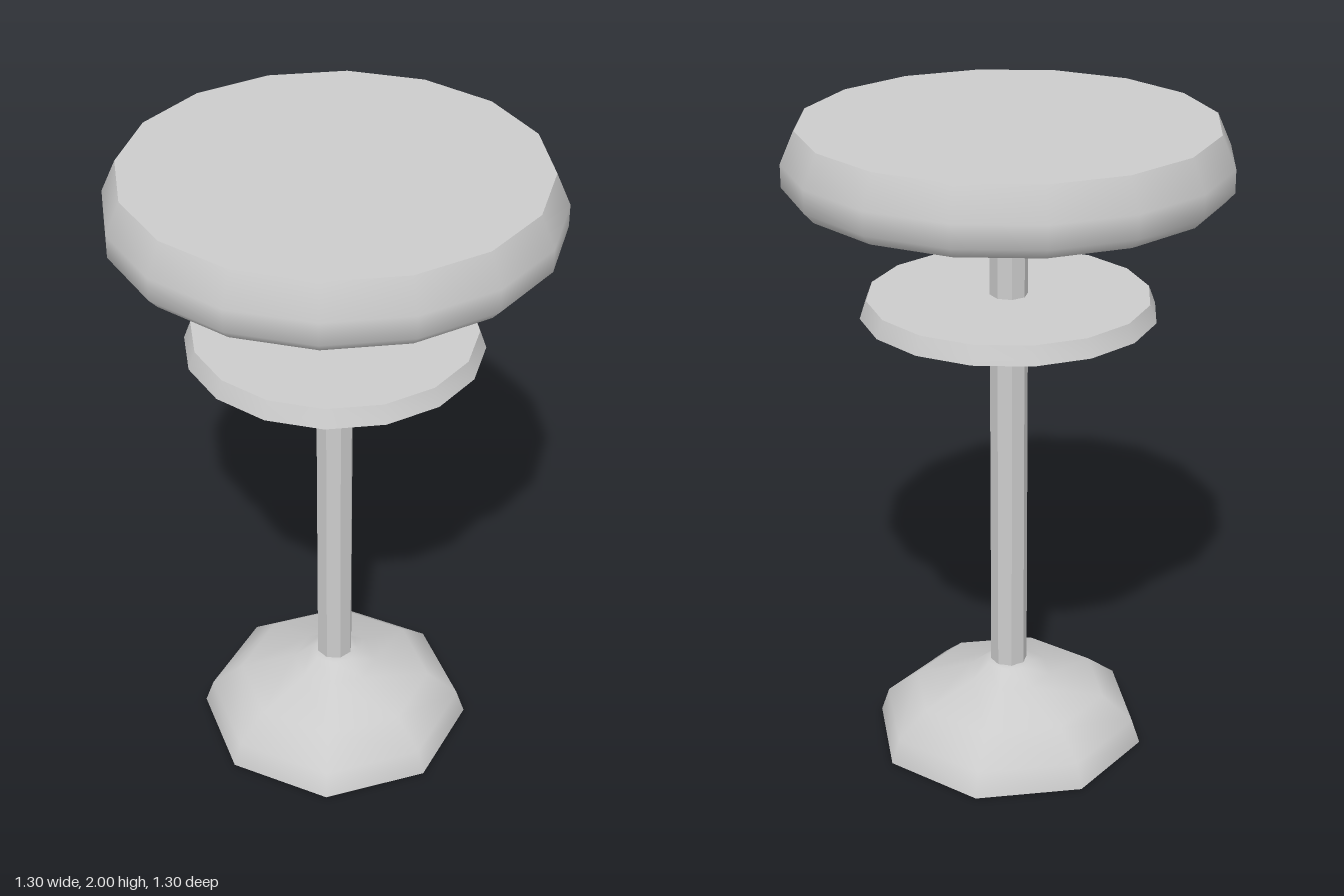
import * as THREE from 'three';
import { toCreasedNormals } from 'three/addons/utils/BufferGeometryUtils.js';

const grey = (options = {}) => new THREE.MeshStandardMaterial({ color: 0xcccccc, ...options });

// Profile points are [radius, height], listed from bottom to top.
function turned(profile, sides, startAngle = 0) {
  const points = profile.map(([r, y]) => new THREE.Vector2(r, y));
  return new THREE.LatheGeometry(points, sides, startAngle);
}

export function createModel() {
  const model = new THREE.Group();
  model.name = 'barStool';

  const add = (name, geometry, material) => {
    const mesh = new THREE.Mesh(geometry, material);
    mesh.name = name;
    model.add(mesh);
  };

  // Round cushion with a flat top and underside and a smooth bulging rim
  const seat = turned([[0, 1.806], [0.622, 1.806], [0.65, 1.837], [0.65, 1.905], [0.608, 2], [0, 2]], 16);
  add('seat', toCreasedNormals(seat, 0.9), grey());

  // Thin disc below the seat
  const disc = turned([[0, 1.43], [0.44, 1.43], [0.42, 1.484], [0, 1.484]], 16);
  add('disc', toCreasedNormals(disc, 0.9), grey());

  // Octagonal pole, open at its ends, reaching down into the hollow base
  const pole = new THREE.CylinderGeometry(0.057, 0.057, 1.68, 8, 1, true);
  pole.translate(0, 0.97, 0);
  add('pole', pole, grey({ flatShading: true, side: THREE.DoubleSide }));

  // Eight-sided hollow base, flat sides towards the front
  const base = turned(
    [[0.428, 0], [0.402, 0.077], [0.304, 0.155], [0.133, 0.21], [0.076, 0.253], [0.05, 0.255]],
    8, Math.PI / 8);
  add('base', base, grey({ side: THREE.DoubleSide }));

  return model;
}
